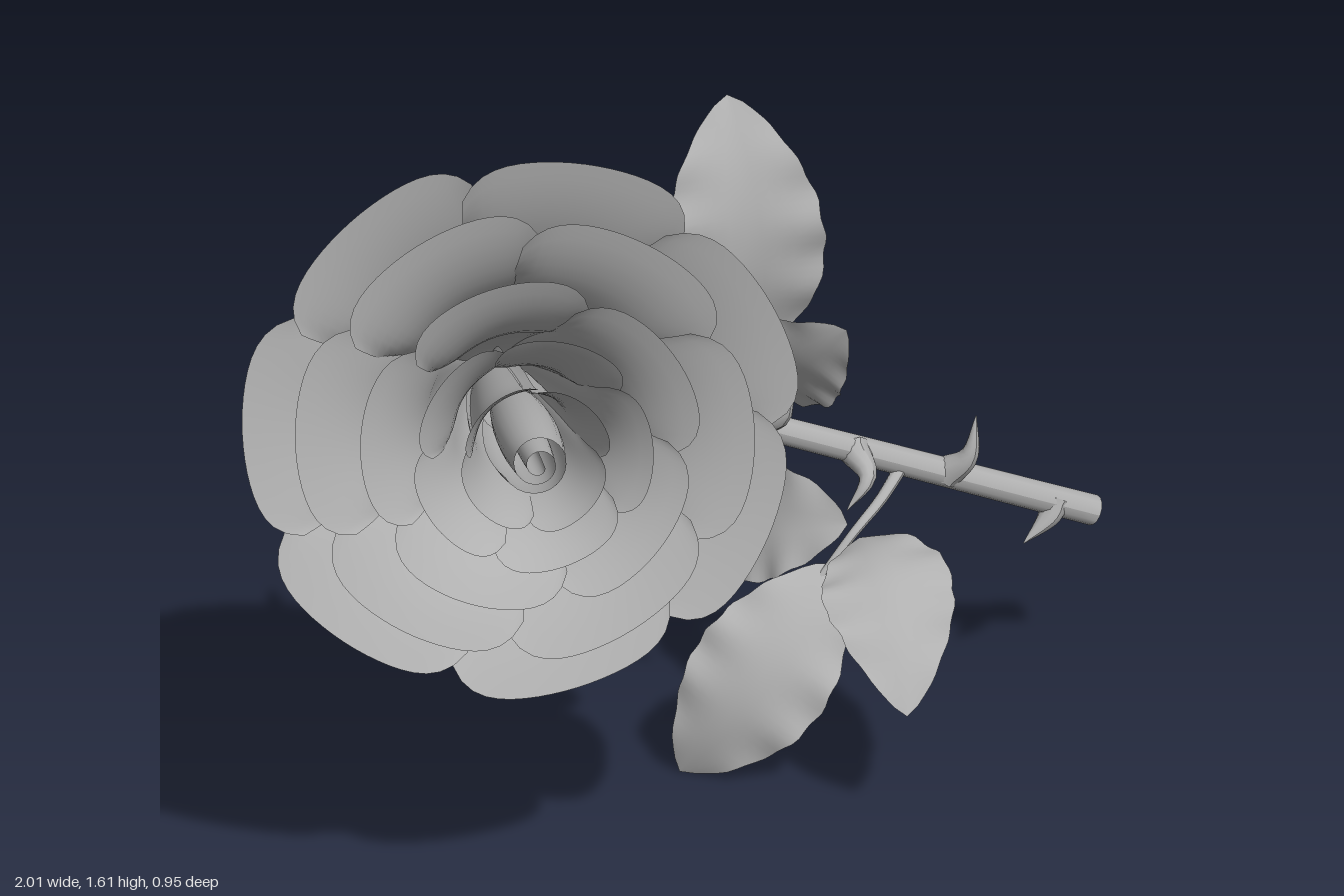
import * as THREE from 'three';

const V = (x, y, z) => new THREE.Vector3(x, y, z);
const grey = new THREE.MeshStandardMaterial({ color: 0xb0b0b0, side: THREE.DoubleSide });
grey.name = 'grey';

// Smooth sheet swept by fn(u, v) -> Vector3, u and v in 0..1
function sheet(fn, nu, nv) {
  const pos = [], idx = [];
  for (let j = 0; j <= nv; j++)
    for (let i = 0; i <= nu; i++) pos.push(...fn(i / nu, j / nv).toArray());
  for (let j = 0; j < nv; j++)
    for (let i = 0; i < nu; i++) {
      const a = j * (nu + 1) + i, b = a + 1, c = a + nu + 1, d = c + 1;
      idx.push(a, b, d, a, d, c);
    }
  const g = new THREE.BufferGeometry();
  g.setAttribute('position', new THREE.Float32BufferAttribute(pos, 3));
  g.setIndex(idx);
  g.computeVertexNormals();
  return g;
}

function add(parent, name, geometry) {
  const m = new THREE.Mesh(geometry, grey);
  m.name = name;
  parent.add(m);
  return m;
}

// Round rod along a curve with a radius that changes from r0 to r1
function rod(points, r0, r1, segments = 10, sides = 10) {
  const curve = new THREE.CatmullRomCurve3(points);
  return sheet((u, v) => {
    const t = curve.getTangentAt(v);
    const a = V(0, 0, 1).addScaledVector(t, -t.z).normalize();
    const b = t.clone().cross(a);
    const r = r0 + (r1 - r0) * v, w = u * Math.PI * 2;
    return curve.getPointAt(v).addScaledVector(a, r * Math.cos(w)).addScaledVector(b, r * Math.sin(w));
  }, sides, segments);
}

// Pointed leaf along base-mid-tip, with rippled edges and a shallow central fold
function leaf(base, mid, tip, across, width) {
  const curve = new THREE.QuadraticBezierCurve3(base, mid, tip);
  return sheet((u, v) => {
    const t = curve.getTangent(v);
    const side = across.clone().addScaledVector(t, -across.dot(t)).normalize();
    const up = side.clone().cross(t);
    const s = u * 2 - 1;
    const half = width / 2 * Math.pow(Math.sin(Math.PI * Math.pow(v, 0.95)), 0.7)
      * (1 + 0.02 * Math.sin(v * 44));
    const lift = half * (0.08 * Math.abs(s) + 0.06 * s * s * Math.sin(v * 26 + (s > 0 ? 1 : 0)));
    return curve.getPoint(v).addScaledVector(side, half * s).addScaledVector(up, lift);
  }, 10, 32);
}

// Petal on a cup around +y: overlapping sides that bend outwards, broad top with a rolled lip
function petal({ R, H, half, bow, lift, curl }, phi) {
  return sheet((u, v) => {
    const s = u * 2 - 1;
    const k = v * (1 - 0.09 * s ** 6);
    const lip = Math.max(0, (k - 0.6) / 0.4) ** 2;
    const flare = 0.09 * R * s ** 6 * Math.sin(Math.PI * v);
    const r = 0.03 + (R - 0.03 - curl) * Math.pow(k, bow) + curl * lip + 0.03 * R * s * k + flare;
    const h = H * Math.pow(k, lift) - curl * 0.6 * lip;
    const a = phi + half * s * (1 - 0.12 * v * v);
    return V(r * Math.cos(a), h, r * Math.sin(a));
  }, 20, 18);
}

function createFlower() {
  const flower = new THREE.Group();
  flower.name = 'flower';
  flower.position.set(-0.365, 1.01, -0.13);
  flower.quaternion.setFromUnitVectors(V(0, 1, 0), V(-0.39, 0.18, 0.9).normalize());

  // Petal rings from the open outside to the tight middle
  const rings = [
    { n: 7, R: 0.555, H: 0.39, half: 0.54, bow: 0.9, lift: 1.05, curl: 0.06 },
    { n: 6, R: 0.46, H: 0.48, half: 0.64, bow: 0.8, lift: 1.08, curl: 0.09 },
    { n: 5, R: 0.34, H: 0.55, half: 0.76, bow: 0.72, lift: 1.08, curl: 0.09 },
    { n: 5, R: 0.24, H: 0.59, half: 0.78, bow: 0.66, lift: 1.05, curl: 0.07 },
    { n: 4, R: 0.15, H: 0.61, half: 0.95, bow: 0.55, lift: 1, curl: 0.04 },
  ];
  rings.forEach((ring, k) => {
    for (let i = 0; i < ring.n; i++)
      add(flower, 'petal', petal(ring, (i + k * 0.45) / ring.n * Math.PI * 2));
  });

  // Rolled bud in the middle
  add(flower, 'bud', sheet((u, v) => {
    const a = u * Math.PI * 5;
    const r = (0.012 + 0.07 * u) * (0.45 + 0.55 * Math.sin(Math.PI * (0.15 + 0.6 * v)));
    return V(r * Math.cos(a), 0.2 + (0.43 - 0.04 * u) * v, r * Math.sin(a));
  }, 60, 8));

  // Hip, neck and narrow swept-back sepals
  const hip = add(flower, 'hip', new THREE.SphereGeometry(0.05, 16, 12));
  hip.position.y = -0.06;
  const neck = add(flower, 'neck', new THREE.CylinderGeometry(0.035, 0.028, 0.09, 14, 1, true));
  neck.position.y = -0.01;
  for (let i = 0; i < 5; i++) {
    const a = i / 5 * Math.PI * 2 + 0.3, c = Math.cos(a), s = Math.sin(a);
    add(flower, 'sepal', leaf(V(0.03 * c, -0.04, 0.03 * s), V(0.15 * c, 0.02, 0.15 * s),
      V(0.2 * c, -0.11, 0.2 * s), V(-s, 0, c), 0.045));
  }
  return flower;
}

// Centre line of the straight part of the stem
const stemAt = x => V(x, 0.375 + (0.98 - x) * 0.478, -0.065 - (0.98 - x) * 0.137);

export function createModel() {
  const rose = new THREE.Group();
  rose.name = 'rose';
  rose.add(createFlower());

  // Stem with a flat cut end
  const path = [stemAt(0.985), stemAt(0.6), stemAt(0.2), stemAt(-0.12), V(-0.24, 0.96, -0.215), V(-0.34, 1.0, -0.19)];
  add(rose, 'stem', rod(path, 0.031, 0.025, 40, 14));
  const cut = add(rose, 'stemEnd', new THREE.CircleGeometry(0.031, 14));
  cut.position.copy(path[0]);
  cut.quaternion.setFromUnitVectors(V(0, 0, 1), path[0].clone().sub(path[1]).normalize());

  // Thorns: stem position, then tip
  for (const [x, tx, ty] of [[0.01, -0.05, 0.76], [0.24, 0.28, 0.87], [0.47, 0.41, 0.53], [0.67, 0.71, 0.66], [0.9, 0.82, 0.345]]) {
    const base = stemAt(x), tip = V(tx, ty, -0.06);
    const bend = base.clone().lerp(tip, 0.35);
    bend.x += 0.012;
    bend.z = -0.065;
    add(rose, 'thorn', rod([base, bend, tip], 0.034, 0.001));
  }

  // Upper leaf stalk and its three leaves
  const upper = new THREE.Group();
  upper.name = 'upperLeaves';
  add(upper, 'stalk', rod([stemAt(0.18), V(0.19, 0.83, -0.08), V(0.2, 0.9, -0.055), V(0.19, 1.0, -0.05)], 0.014, 0.007));
  add(upper, 'leaf', leaf(V(0.19, 0.96, -0.05), V(0.12, 1.25, 0.05), V(0.18, 1.485, -0.14), V(0.87, 0, 0.5), 0.31));
  add(upper, 'leaf', leaf(V(0.2, 0.88, -0.03), V(0.09, 0.99, 0.14), V(0.2, 1.14, 0.28), V(-0.6, 0.61, -0.46), 0.24));
  add(upper, 'leaf', leaf(V(0.2, 0.89, -0.07), V(0.11, 1.03, -0.2), V(0.2, 1.12, -0.38), V(0.64, 0.59, 0.46), 0.24));
  rose.add(upper);

  // Lower leaf stalk and its three leaves
  const lower = new THREE.Group();
  lower.name = 'lowerLeaves';
  add(lower, 'stalk', rod([stemAt(0.58), V(0.5, 0.52, -0.08), V(0.43, 0.48, -0.06), V(0.34, 0.39, -0.06)], 0.014, 0.007));
  add(lower, 'leaf', leaf(V(0.43, 0.48, -0.09), V(0.28, 0.46, -0.28), V(0.34, 0.31, -0.48), V(0.2, 0.8, -0.5), 0.24));
  add(lower, 'leaf', leaf(V(0.42, 0.48, -0.03), V(0.37, 0.55, 0.18), V(0.31, 0.27, 0.33), V(0.95, 0.2, 0.2), 0.26));
  add(lower, 'leaf', leaf(V(0.38, 0.42, -0.06), V(0.14, 0.25, 0.05), V(0.07, 0.005, -0.14), V(0.58, -0.5, 0.64), 0.28));
  rose.add(lower);

  // Centre the model and stand it on the ground
  const box = new THREE.Box3().setFromObject(rose, true);
  const mid = box.getCenter(V(0, 0, 0));
  rose.position.set(-mid.x, -box.min.y, -mid.z);
  const model = new THREE.Group();
  model.name = 'model';
  model.add(rose);
  return model;
}
